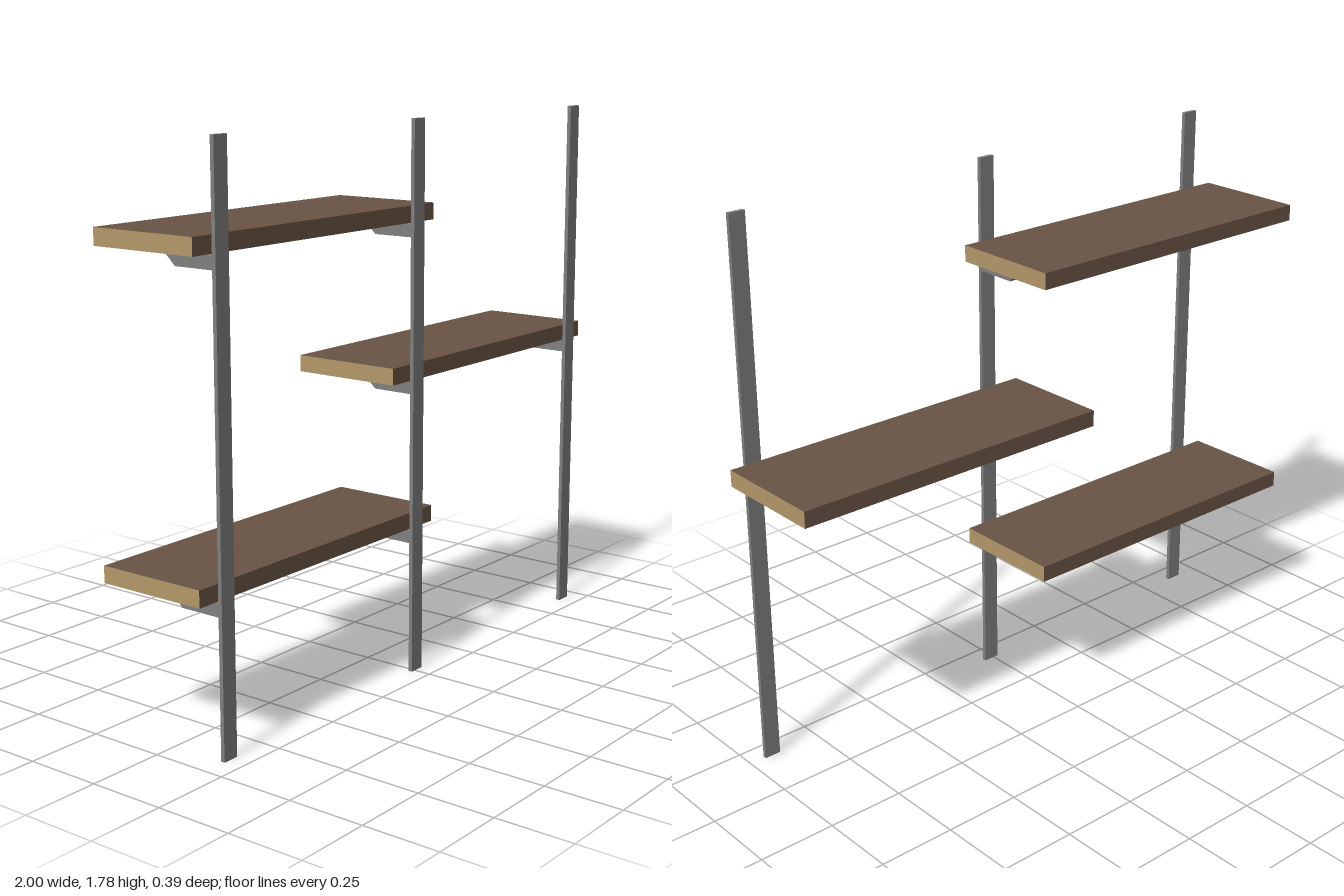
import * as THREE from 'three';

export function createModel() {
  const group = new THREE.Group();
  group.name = 'wallShelving';

  const mat = (name, color) => {
    const m = new THREE.MeshStandardMaterial({ color });
    m.name = name;
    return m;
  };
  const steel = mat('steel', 0x808080);
  const walnut = mat('brown veneer', 0x6a5545);
  const endGrain = mat('tan end grain', 0xb5986a);

  const add = (name, geometry, material, x, y, z) => {
    const mesh = new THREE.Mesh(geometry, material);
    mesh.name = name;
    mesh.position.set(x, y, z);
    group.add(mesh);
  };

  const front = 0.193, back = -0.193, railDepth = 0.013, railWidth = 0.054;
  const shelfFront = front - railDepth;
  const railX = [-0.896, 0.01, 0.92];

  // Three flat upright rails
  const railGeo = new THREE.BoxGeometry(railWidth, 1.78, railDepth);
  for (const x of railX) add('upright', railGeo, steel, x, 0.89, front - railDepth / 2);

  // Bracket side profile (z, y), with a slanted tip, extruded across x
  const profile = new THREE.Shape([
    [shelfFront, 0], [0, 0], [0.042, -0.04], [shelfFront, -0.04],
  ].map(([z, y]) => new THREE.Vector2(-z, y)));
  const bracketGeo = new THREE.ExtrudeGeometry(profile, { depth: railWidth, bevelEnabled: false });
  bracketGeo.translate(0, 0, -railWidth / 2).rotateY(Math.PI / 2);

  // Shelves with tan ends, each carried by two brackets
  const thickness = 0.053;
  const depth = shelfFront - back;
  const shelves = [
    { x0: -1, x1: 0.102, y: 0.48, bracketTop: 0.473, rails: [0, 1] },
    { x0: -0.106, x1: 1, y: 0.963, bracketTop: 0.961, rails: [1, 2] },
    { x0: -1, x1: 0.102, y: 1.461, bracketTop: 1.456, rails: [0, 1] },
  ];
  for (const s of shelves) {
    add('shelf', new THREE.BoxGeometry(s.x1 - s.x0, thickness, depth),
      [endGrain, endGrain, walnut, walnut, walnut, walnut],
      (s.x0 + s.x1) / 2, s.y + thickness / 2, (shelfFront + back) / 2);
    for (const i of s.rails) add('bracket', bracketGeo, steel, railX[i], s.bracketTop, 0);
  }
  return group;
}
